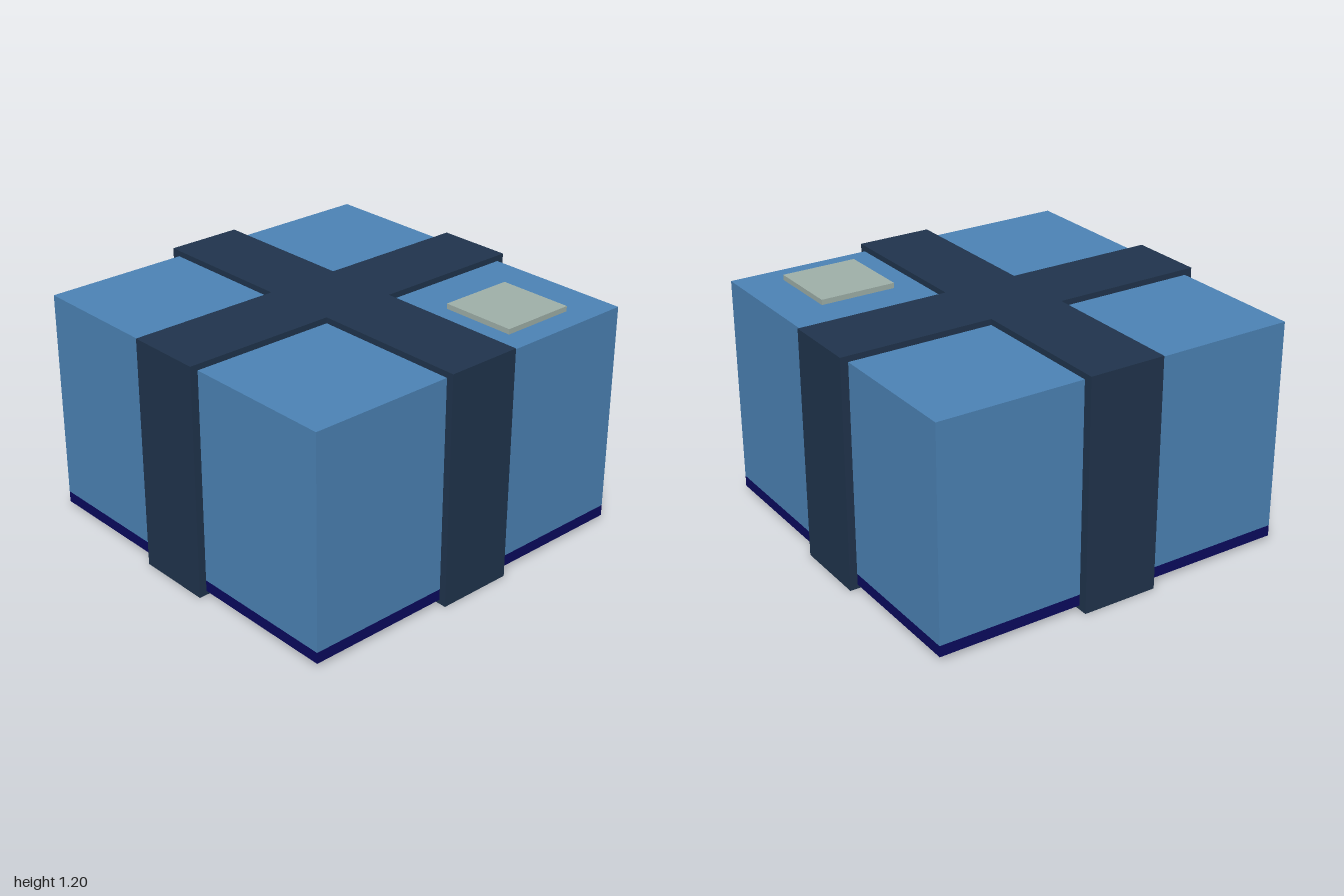
import * as THREE from 'three';

const mat = (name, color) => {
  const m = new THREE.MeshStandardMaterial({ color });
  m.name = name;
  return m;
};

export function createModel() {
  const group = new THREE.Group();
  group.name = 'crate';
  const blue = mat('steel blue', 0x4c83b6);
  const navy = mat('navy', 0x0a0a5e);
  const slate = mat('dark slate blue', 0x20344d);
  const pale = mat('pale grey green', 0x9fb0a9);

  // Box given by its low and high corners
  const box = (name, material, lo, hi) => {
    const size = hi.map((v, i) => v - lo[i]);
    const mesh = new THREE.Mesh(new THREE.BoxGeometry(...size), material);
    mesh.position.set(...hi.map((v, i) => (v + lo[i]) / 2));
    mesh.name = name;
    group.add(mesh);
  };

  box('body', blue, [-0.953, 0.08, -0.96], [0.963, 1.17, 0.96]);
  box('base', navy, [-0.953, 0.022, -0.96], [0.963, 0.08, 0.96]);
  box('label', pale, [0.433, 1.17, -0.737], [0.833, 1.197, -0.337]);

  // Crossed straps: one plus-shaped outline, extruded upward
  const [l, r, w] = [-0.222, 0.178, 0.2];
  const plus = [
    [l, -1], [r, -1], [r, -w], [1, -w], [1, w], [r, w],
    [r, 1], [l, 1], [l, w], [-1, w], [-1, -w], [l, -w],
  ].map(([x, y]) => new THREE.Vector2(x, y));
  const geometry = new THREE.ExtrudeGeometry(new THREE.Shape(plus), { depth: 1.2, bevelEnabled: false });
  geometry.rotateX(-Math.PI / 2);
  const straps = new THREE.Mesh(geometry, slate);
  straps.name = 'crossedStraps';
  group.add(straps);

  return group;
}
